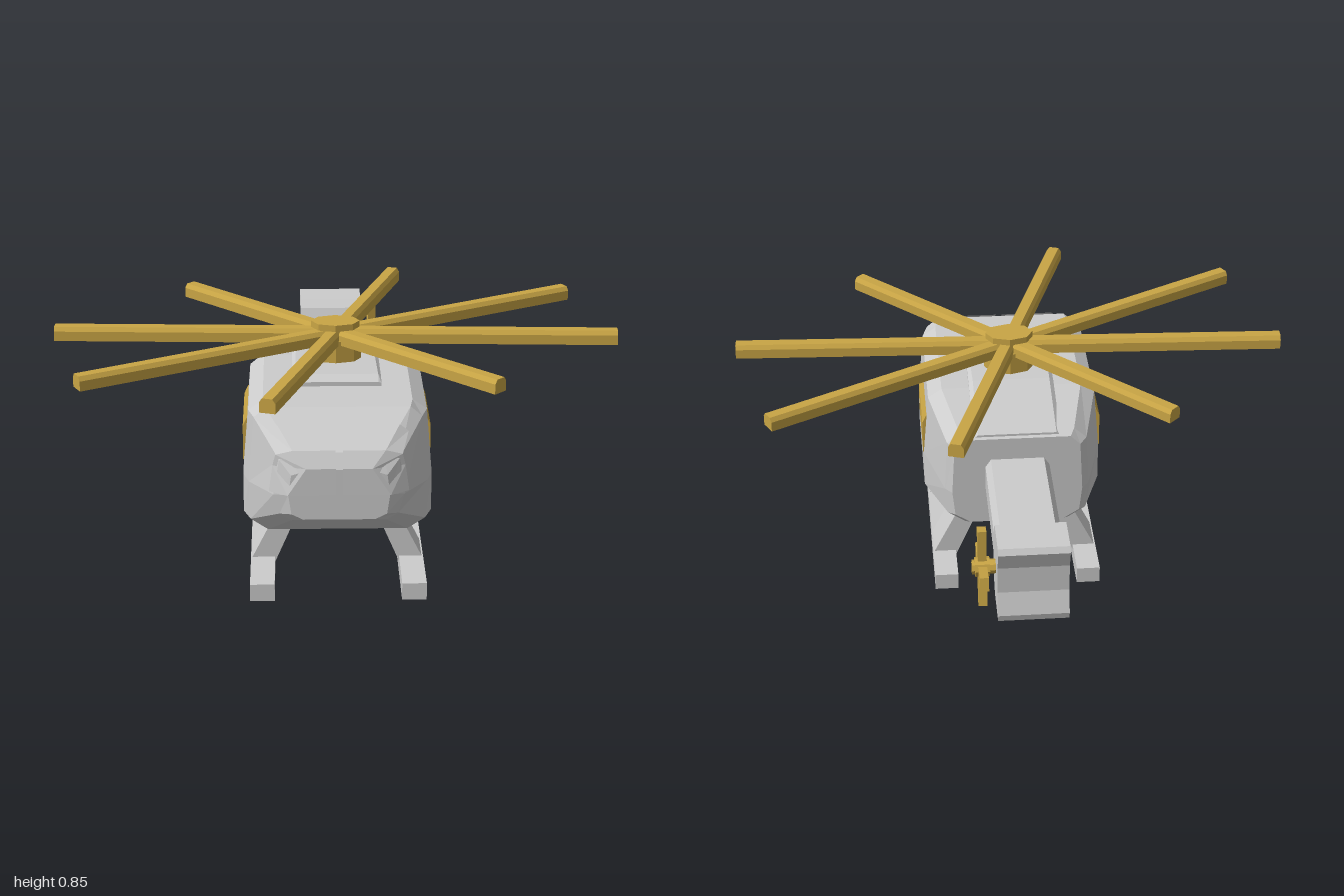
import * as THREE from 'three';

const GREY = new THREE.MeshStandardMaterial({ color: 0xcccccc, flatShading: true });
const PANE = new THREE.MeshStandardMaterial({ color: 0xcccccc, flatShading: true, side: THREE.DoubleSide });
const GOLD = new THREE.MeshStandardMaterial({ color: 0xc9a545, flatShading: true });

function add(parent, name, geometry, material = GREY) {
  const mesh = new THREE.Mesh(geometry, material);
  mesh.name = name;
  parent.add(mesh);
  return mesh;
}

function build(positions, index) {
  const g = new THREE.BufferGeometry();
  g.setAttribute('position', new THREE.Float32BufferAttribute(positions, 3));
  g.setIndex(index);
  const flat = g.toNonIndexed();
  flat.computeVertexNormals();
  return flat;
}

// Skins mirrored half-sections (bottom to top), ordered from front to back.
function loft(sections) {
  const pos = [], idx = [];
  const n = sections[0].half.length * 2;
  for (const { z, half } of sections) {
    const ring = [...half, ...half.map(([x, y]) => [-x, y]).reverse()];
    for (const [x, y] of ring) pos.push(x, y, z);
  }
  const last = (sections.length - 1) * n;
  for (let i = 0; i < last; i += n) {
    for (let j = 0; j < n; j++) {
      const k = (j + 1) % n;
      idx.push(i + j, i + n + j, i + n + k, i + j, i + n + k, i + k);
    }
  }
  for (let j = 1; j < n - 1; j++) {
    idx.push(0, j, j + 1, last, last + j + 1, last + j);
  }
  return build(pos, idx);
}

// Outline in x and y, extruded along z from a start position.
function prism(points, depth, start = -depth / 2) {
  const shape = new THREE.Shape(points.map(([x, y]) => new THREE.Vector2(x, y)));
  return new THREE.ExtrudeGeometry(shape, { depth, bevelEnabled: false }).translate(0, 0, start);
}

// Open surface through rows of points, optionally mirrored in x.
function sheet(rows, side) {
  const w = rows[0].length, idx = [];
  const pos = rows.flat().flatMap(([x, y, z]) => [x * side, y, z]);
  for (let r = 0; r < rows.length - 1; r++) {
    for (let c = 0; c < w - 1; c++) {
      const a = r * w + c, b = a + 1, d = a + w, e = d + 1;
      if (side > 0) idx.push(a, b, e, a, e, d);
      else idx.push(a, e, b, a, d, e);
    }
  }
  return build(pos, idx);
}

export function createModel() {
  const model = new THREE.Group();
  model.name = 'helicopter';

  // Cabin hull with tapered nose and rear
  const cabin = [[0.25, 0.228], [0.325, 0.27], [0.325, 0.41], [0.305, 0.645], [0.255, 0.68]];
  add(model, 'cabin', loft([
    { z: 0.79, half: [[0.12, 0.35], [0.16, 0.37], [0.17, 0.44], [0.16, 0.51], [0.10, 0.53]] },
    { z: 0.76, half: [[0.16, 0.335], [0.20, 0.36], [0.22, 0.43], [0.20, 0.555], [0.15, 0.58]] },
    { z: 0.60, half: [[0.24, 0.23], [0.30, 0.27], [0.305, 0.41], [0.285, 0.645], [0.245, 0.68]] },
    { z: 0.53, half: cabin },
    { z: 0.07, half: cabin },
    { z: -0.18, half: [[0.19, 0.265], [0.25, 0.305], [0.26, 0.41], [0.25, 0.605], [0.205, 0.645]] },
    { z: -0.21, half: [[0.17, 0.28], [0.225, 0.315], [0.235, 0.41], [0.225, 0.595], [0.19, 0.63]] },
  ]));

  // Raised engine housing on the roof
  add(model, 'engineHousing', loft([
    { z: 0.40, half: [[0.155, 0.66], [0.155, 0.69], [0.145, 0.695]] },
    { z: 0.36, half: [[0.155, 0.66], [0.155, 0.70], [0.145, 0.71]] },
    { z: 0.08, half: [[0.155, 0.65], [0.155, 0.69], [0.14, 0.703]] },
    { z: -0.20, half: [[0.155, 0.60], [0.155, 0.63], [0.14, 0.643]] },
  ]));

  // Windshield panes, divided at the middle
  const pane = [
    [[0.012, 0.44, 0.797], [0.172, 0.44, 0.797], [0.235, 0.44, 0.755]],
    [[0.012, 0.535, 0.796], [0.11, 0.535, 0.796], [0.222, 0.53, 0.748]],
    [[0.012, 0.588, 0.764], [0.155, 0.588, 0.764], [0.212, 0.57, 0.752]],
    [[0.012, 0.645, 0.675], [0.205, 0.645, 0.675], [0.235, 0.622, 0.675]],
  ];

  for (const side of [1, -1]) {
    const label = side > 0 ? 'left' : 'right';
    const mirror = (pts) => pts.map(([x, y]) => [x * side, y]);
    add(model, label + 'Windshield', sheet(pane, side), PANE);

    // Side door
    const door = [[0.28, 0.41], [0.328, 0.41], [0.328, 0.535], [0.314, 0.565], [0.28, 0.565]];
    add(model, label + 'Door', prism(mirror(door), 0.325, 0.075), GOLD);

    // Skid and its two slanted legs
    add(model, label + 'Skid', new THREE.BoxGeometry(0.085, 0.062, 0.92))
      .position.set(0.262 * side, 0.031, 0.23);
    const leg = [[0.22, 0.04], [0.305, 0.05], [0.205, 0.25], [0.13, 0.25]];
    for (const [name, z] of [['FrontLeg', 0.325], ['RearLeg', -0.075]]) {
      add(model, label + name, prism(mirror(leg), 0.14, z));
    }
  }

  // Tail boom
  const boom = [[0.115, 0.425], [0.115, 0.515], [0.095, 0.545]];
  add(model, 'tailBoom', loft([{ z: -0.19, half: boom }, { z: -0.74, half: boom }]));

  // Tail fin, outlined in z and y
  add(model, 'tailFin', prism([
    [-0.735, 0.625], [-0.875, 0.625], [-0.887, 0.605], [-0.865, 0.54], [-0.863, 0.44],
    [-0.887, 0.36], [-0.88, 0.335], [-0.735, 0.34], [-0.70, 0.37], [-0.68, 0.43],
    [-0.68, 0.54], [-0.705, 0.60],
  ], 0.24)).rotation.y = -Math.PI / 2;

  // Tail rotor: shaft, hub and four flared blades
  const tailRotor = new THREE.Group();
  tailRotor.name = 'tailRotor';
  tailRotor.position.set(0.165, 0.482, -0.768);
  tailRotor.rotation.y = -Math.PI / 2;
  model.add(tailRotor);
  add(tailRotor, 'tailRotorHub', new THREE.CylinderGeometry(0.034, 0.034, 0.05, 8), GOLD).rotation.x = Math.PI / 2;
  const shaft = add(tailRotor, 'tailRotorShaft', new THREE.CylinderGeometry(0.025, 0.025, 0.10, 8), GOLD);
  shaft.rotation.x = Math.PI / 2;
  shaft.position.z = 0.015;
  for (let i = 0; i < 4; i++) {
    const l = i % 2 ? 0.127 : 0.145;
    const blade = prism([[-0.013, 0.015], [0.013, 0.015], [0.028, l - 0.006], [-0.02, l]], 0.03);
    add(tailRotor, 'tailRotorBlade', blade, GOLD).rotation.z = i * Math.PI / 2 - 0.08;
  }

  // Main rotor: mast, hub, cap and eight blades
  const rotor = new THREE.Group();
  rotor.name = 'mainRotor';
  rotor.position.set(0, 0, 0.178);
  model.add(rotor);
  const disc = (name, r, bottom, top) => {
    const mesh = add(rotor, name, new THREE.CylinderGeometry(r, r, top - bottom, 8), GOLD);
    mesh.scale.z = 0.7;
    mesh.position.y = (bottom + top) / 2;
  };
  disc('mast', 0.092, 0.68, 0.785);
  disc('rotorHub', 0.07, 0.77, 0.825);
  disc('rotorCap', 0.086, 0.822, 0.845);
  const section = [[-0.028, 0.77], [0.028, 0.77], [0.028, 0.805], [0.018, 0.82], [-0.018, 0.82], [-0.028, 0.805]];
  for (const [x, z] of [[0.235, -0.71], [0.87, -0.473], [0.995, 0.043], [0.535, 0.535]]) {
    for (const s of [1, -1]) {
      const blade = prism(section, Math.hypot(x, z), 0);
      add(rotor, 'rotorBlade', blade, GOLD).rotation.y = Math.atan2(x * s, z * s);
    }
  }
  return model;
}
